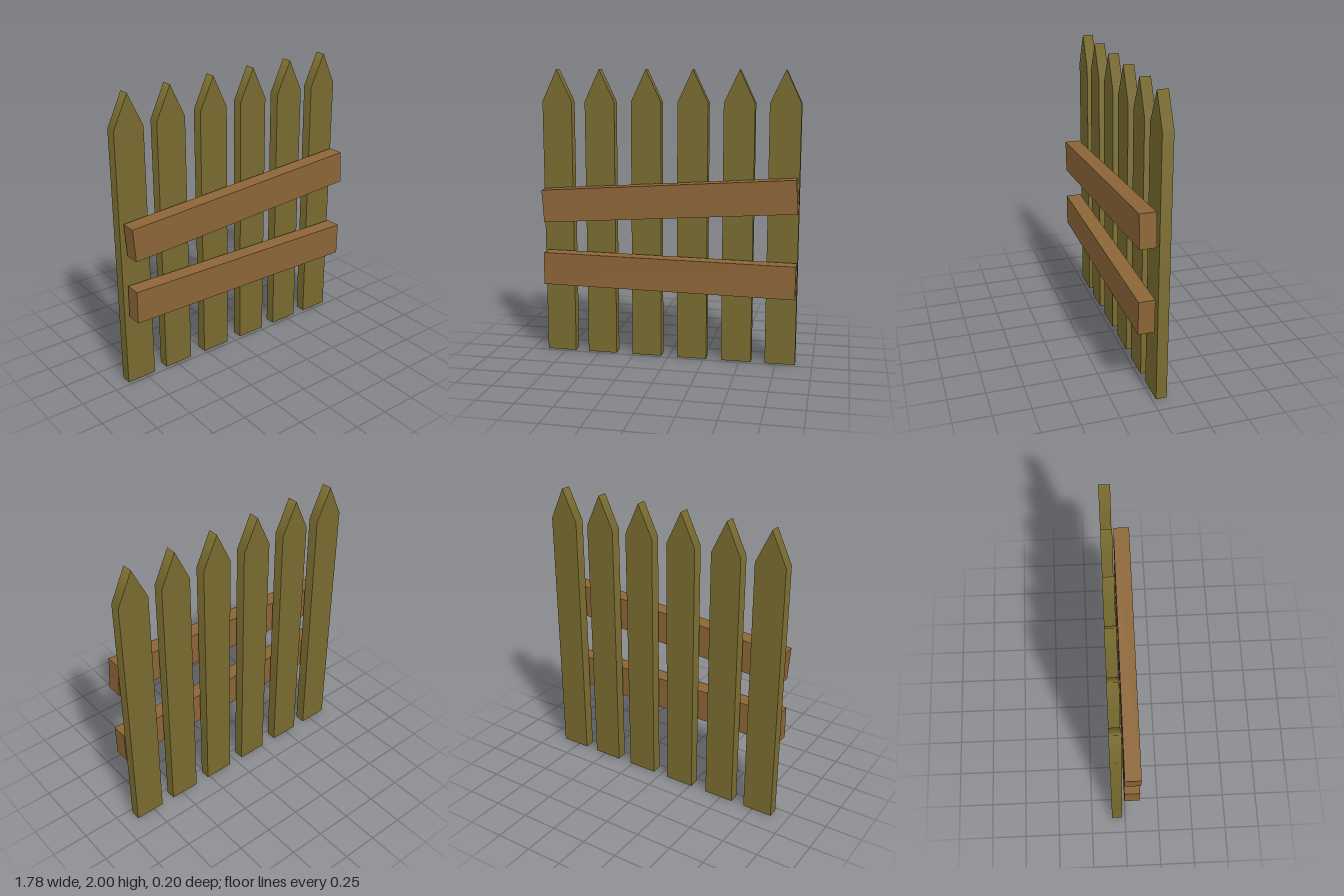
import * as THREE from 'three';

const SHOULDER = 1.78, TIP = 2, HALF = 0.104;

// Pointed board with shading that rolls over the tip
function picketGeometry() {
  const shape = new THREE.Shape();
  shape.moveTo(-HALF, 0);
  shape.lineTo(HALF, 0);
  shape.lineTo(HALF, SHOULDER);
  shape.lineTo(0, TIP);
  shape.lineTo(-HALF, SHOULDER);
  shape.closePath();
  const geo = new THREE.ExtrudeGeometry(shape, { depth: 0.072, bevelEnabled: false });
  const pos = geo.attributes.position, nor = geo.attributes.normal;
  for (let i = 0; i < pos.count; i++) {
    if (Math.abs(nor.getZ(i)) > 0.5 || nor.getY(i) < -0.5) continue; // faces and foot stay flat
    const y = pos.getY(i);
    if (y > TIP - 0.01) nor.setXYZ(i, 0, 1, 0);
    else if (y > SHOULDER - 0.01) nor.setXYZ(i, Math.sign(pos.getX(i)) * 0.976, 0.217, 0);
  }
  return geo;
}

export function createModel() {
  const fence = new THREE.Group();
  fence.name = 'picketFence';
  const picketWood = new THREE.MeshStandardMaterial({ color: 0x786b2f });
  const railWood = new THREE.MeshStandardMaterial({ color: 0x8c6537 });

  // Upright pickets, slightly uneven spacing
  const picketGeo = picketGeometry();
  [-0.785, -0.482, -0.157, 0.164, 0.477, 0.781].forEach((x, i) => {
    const picket = new THREE.Mesh(picketGeo, picketWood);
    picket.name = `picket${i + 1}`;
    picket.position.set(x, 0, -0.098);
    fence.add(picket);
  });

  // Crooked cross rails in front
  const railGeo = new THREE.BoxGeometry(1.743, 0.225, 0.108);
  const rails = [['upperRail', 1.125, 0.067], ['lowerRail', 0.617, -0.012]];
  for (const [name, y, tilt] of rails) {
    const rail = new THREE.Mesh(railGeo, railWood);
    rail.name = name;
    rail.position.set(0.009, y, 0.046);
    rail.rotation.z = tilt;
    fence.add(rail);
  }
  return fence;
}
